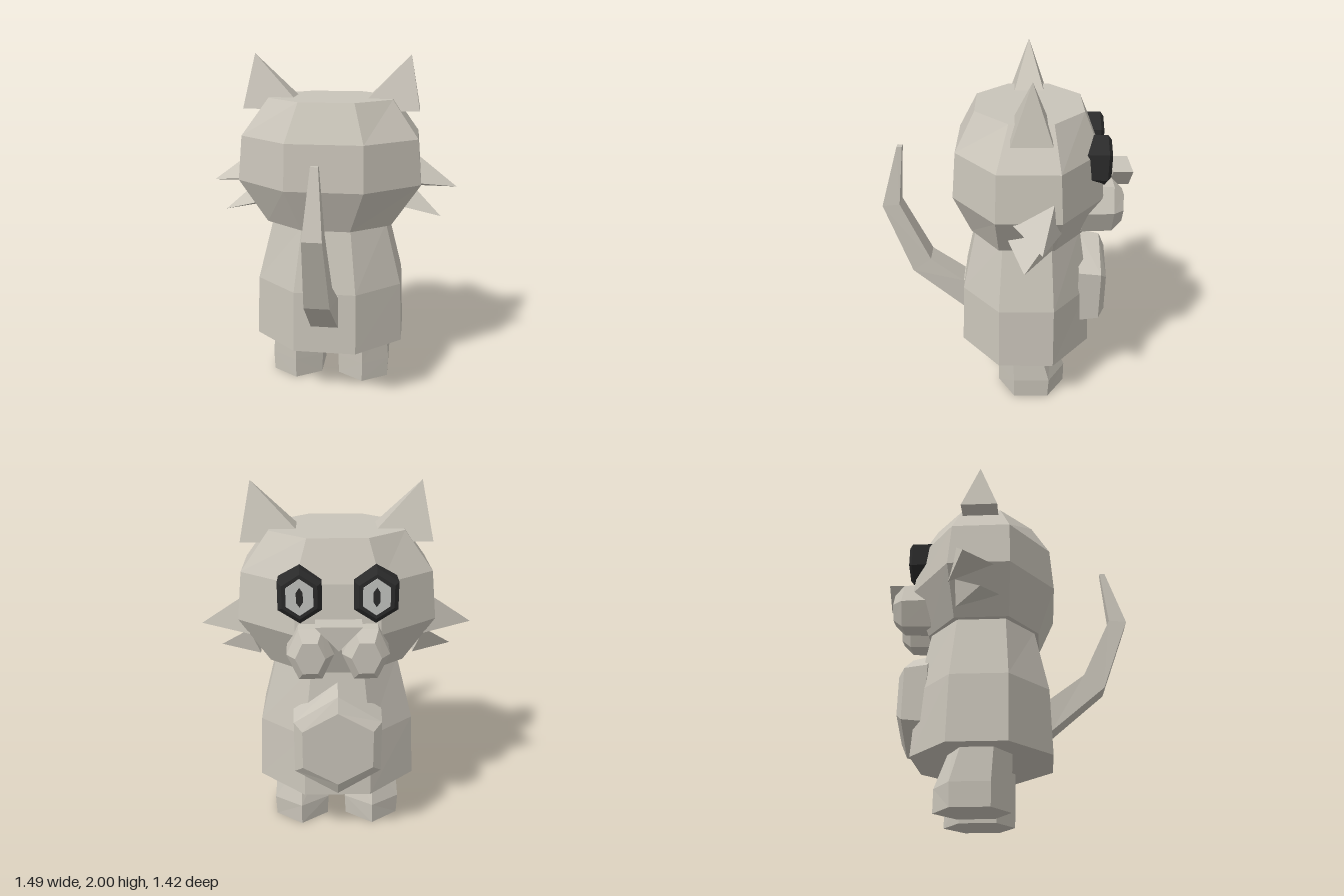
import * as THREE from 'three';

const mat = (name, color) => {
  const m = new THREE.MeshStandardMaterial({ color, flatShading: true });
  m.name = name;
  return m;
};

// Joins cross-sections (equal counts, or one point for a tip) into a closed solid facing outward.
function loft(rings) {
  const n = Math.max(...rings.map(r => r.length));
  const at = (r, i) => rings[r][i % rings[r].length];
  const tris = [];
  for (let r = 0; r < rings.length - 1; r++) {
    for (let i = 0; i < n; i++) {
      const j = (i + 1) % n;
      if (rings[r].length > 1) tris.push([at(r, i), at(r, j), at(r + 1, j)]);
      if (rings[r + 1].length > 1) tris.push([at(r, i), at(r + 1, j), at(r + 1, i)]);
      else if (rings[r].length === 1) continue;
    }
  }
  const last = rings.length - 1;
  for (let i = 1; i < n - 1; i++) {
    if (rings[0].length > 1) tris.push([at(0, 0), at(0, i + 1), at(0, i)]);
    if (rings[last].length > 1) tris.push([at(last, 0), at(last, i), at(last, i + 1)]);
  }
  const V = p => new THREE.Vector3(...p);
  const volume = tris.reduce((s, [a, b, c]) => s + V(a).dot(V(b).cross(V(c))), 0);
  const sign = Math.sign(volume);
  const pos = tris.flatMap(([a, b, c]) => (sign < 0 ? [a, c, b] : [a, b, c])).flat();
  const g = new THREE.BufferGeometry();
  g.setAttribute('position', new THREE.Float32BufferAttribute(pos, 3));
  g.computeVertexNormals();
  return g;
}

// Horizontal octagon: end half width, side half width, then z from back to front.
const octagon = ([y, xe, xs, zb, zsb, zsf, zf]) => [
  [xe, y, zb], [xs, y, zsb], [xs, y, zsf], [xe, y, zf],
  [-xe, y, zf], [-xs, y, zsf], [-xs, y, zsb], [-xe, y, zb]];

// Upright hexagons along z, each [z, half width, half height].
const tallHex = (cx, cy, steps) => loft(steps.map(([z, w, h]) =>
  [[0, 1], [1, 0.5], [1, -0.5], [0, -1], [-1, -0.5], [-1, 0.5]]
    .map(([u, v]) => [cx + u * w, cy + v * h, z])));
const wideHex = (cx, cy, steps) => loft(steps.map(([z, w, h]) =>
  [[1, 0], [0.5, 1], [-0.5, 1], [-1, 0], [-0.5, -1], [0.5, -1]]
    .map(([u, v]) => [cx + u * w, cy + v * h, z])));

export function createModel() {
  const model = new THREE.Group();
  const fur = mat('fur', 0xc9c4b9);
  const dark = mat('eyeDark', 0x2b2b2b);
  const irisGrey = mat('irisGrey', 0xc2c3c0);
  const add = (name, geometry, material = fur) => {
    const mesh = new THREE.Mesh(geometry, material);
    mesh.name = name;
    model.add(mesh);
  };

  add('head', loft([
    [1.04, 0.14, 0.365, 0.19, 0.03, -0.275, -0.45],
    [1.29, 0.22, 0.53, 0.285, 0.045, -0.3, -0.54],
    [1.55, 0.215, 0.505, 0.265, 0.04, -0.285, -0.51],
    [1.76, 0.155, 0.355, 0.16, -0.02, -0.25, -0.42],
  ].map(octagon)));

  add('body', loft([
    [0.305, 0.185, 0.447, 0.255, 0.03, -0.285, -0.51],
    [0.675, 0.18, 0.43, 0.243, 0.03, -0.28, -0.49],
    [1.05, 0.14, 0.335, 0.165, 0.01, -0.26, -0.43],
  ].map(octagon)));

  add('belly', tallHex(0, 0.65, [[-0.43, 0.24, 0.33], [-0.56, 0.235, 0.3], [-0.595, 0.19, 0.22]]));

  // Tail: rectangular sections [half width, inner y, inner z, outer y, outer z]
  add('tail', loft([
    [0.085, 0.74, 0.15, 0.55, 0.15],
    [0.08, 0.66, 0.25, 0.47, 0.25],
    [0.07, 0.805, 0.445, 0.725, 0.555],
    [0.052, 1.16, 0.61, 1.15, 0.71],
    [0.02, 1.505, 0.577, 1.505, 0.607],
  ].map(([w, yi, zi, yo, zo]) => [[-w, yi, zi], [w, yi, zi], [w, yo, zo], [-w, yo, zo]])));

  // Nose: wedge pointing down
  add('nose', loft([-0.6, -0.71].map(z => [[-0.115, 1.4, z], [0.115, 1.4, z], [0, 1.275, z]])));

  for (const s of [1, -1]) {
    const side = s > 0 ? 'left' : 'right';
    const mirror = points => points.map(([x, y, z]) => [s * x, y, z]);

    // Hexagonal legs, leaning back toward the top: [y, half width, z of four levels]
    add(side + 'Leg', loft([
      [0, 0.155, 0.035, -0.06, -0.265, -0.37],
      [0.125, 0.16, 0.037, -0.06, -0.27, -0.37],
      [0.38, 0.137, 0.04, -0.045, -0.2, -0.275],
    ].map(([y, w, a, b, c, d]) => mirror([
      [0.21, y, a], [0.21 + w, y, b], [0.21 + w, y, c],
      [0.21, y, d], [0.21 - w, y, c], [0.21 - w, y, b]]))));

    add(side + 'Ear', loft([
      mirror([[0.15, 1.695, -0.03], [0.507, 1.695, -0.03], [0.507, 1.695, -0.24], [0.15, 1.695, -0.24]]),
      mirror([[0.45, 2, -0.135]])]));

    add(side + 'UpperCheekTuft', loft([
      mirror([[0.5, 1.41, -0.26], [0.49, 1.285, -0.025], [0.47, 1.205, -0.3]]),
      mirror([[0.745, 1.23, -0.19]])]));
    add(side + 'LowerCheekTuft', loft([
      mirror([[0.48, 1.215, -0.26], [0.42, 1.145, -0.015], [0.42, 1.077, -0.26]]),
      mirror([[0.655, 1.067, -0.105]])]));

    add(side + 'Muzzle', wideHex(s * 0.14, 1.213,
      [[-0.43, 0.125, 0.14], [-0.6, 0.12, 0.135], [-0.657, 0.075, 0.082]]));

    // Eye: bevelled dark rim, iris plate and slit pupil
    add(side + 'EyeRim', tallHex(s * 0.19, 1.502,
      [[-0.43, 0.11, 0.14], [-0.545, 0.11, 0.143], [-0.565, 0.088, 0.115]], dark));
    model.children.at(-1).material = dark;
    add(side + 'Iris', tallHex(s * 0.19, 1.502, [[-0.562, 0.068, 0.095], [-0.568, 0.068, 0.095]]), irisGrey);
    add(side + 'Pupil', tallHex(s * 0.19, 1.502, [[-0.566, 0.017, 0.05], [-0.572, 0.017, 0.05]]), dark);
  }
  return model;
}
